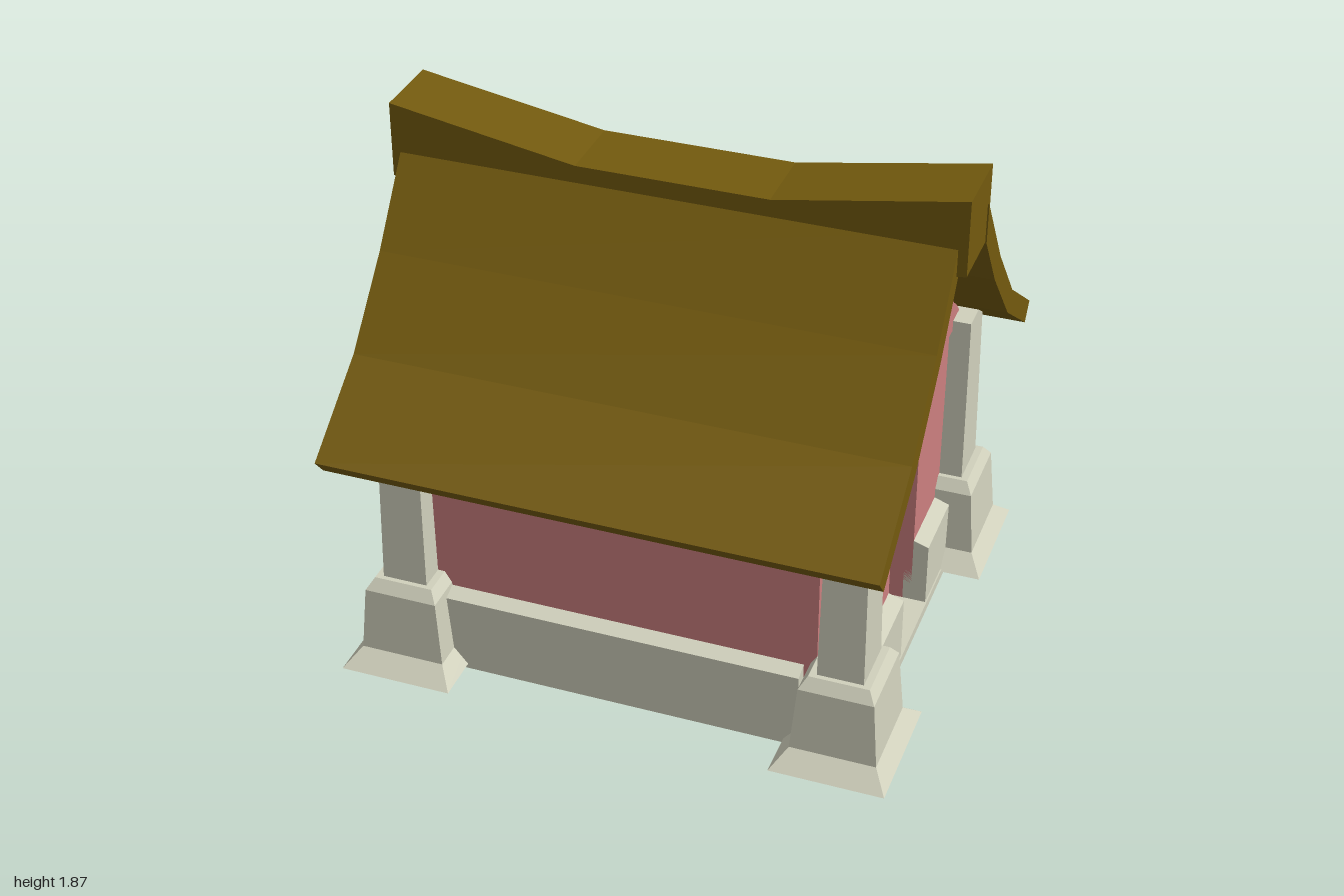
import * as THREE from 'three';

const paint = (color) => new THREE.MeshStandardMaterial({ color });

export function createModel() {
  const house = new THREE.Group();
  const plaster = paint(0xcc7f7f), stone = paint(0xd0d0bc), wood = paint(0x735a0e);

  const add = (name, geometry, material, parent = house) => {
    const mesh = new THREE.Mesh(geometry, material);
    mesh.name = name;
    parent.add(mesh);
    return mesh;
  };

  // Box between two corners
  const block = (x0, x1, y0, y1, z0, z1) =>
    new THREE.BoxGeometry(x1 - x0, y1 - y0, z1 - z0)
      .translate((x0 + x1) / 2, (y0 + y1) / 2, (z0 + z1) / 2);

  // Box tapering from one half-size to another
  const taper = (y0, hx0, hz0, y1, hx1, hz1) => {
    const g = new THREE.BoxGeometry(2, 1, 2);
    const p = g.attributes.position;
    for (let i = 0; i < p.count; i++) {
      const top = p.getY(i) > 0;
      p.setXYZ(i, p.getX(i) * (top ? hx1 : hx0), top ? y1 : y0, p.getZ(i) * (top ? hz1 : hz0));
    }
    g.computeVertexNormals();
    return g;
  };

  // Plinth: the top slopes down towards the outside (axis 0 = x, 2 = z)
  const plinth = (name, x0, x1, y0, y1, z0, z1, axis, sign) => {
    const g = block(x0, x1, y0, y1, z0, z1);
    const p = g.attributes.position;
    const middle = axis === 0 ? (x0 + x1) / 2 : (z0 + z1) / 2;
    for (let i = 0; i < p.count; i++) {
      const outer = (p.getComponent(i, axis) - middle) * sign > 0;
      if (outer && p.getY(i) > (y0 + y1) / 2) p.setY(i, y1 - 0.03);
    }
    g.computeVertexNormals();
    add(name, g, stone);
  };

  const shape = (points) => new THREE.Shape(points.map(([a, b]) => new THREE.Vector2(a, b)));

  // Profile in (z, y) extruded along x
  const alongX = (points, x0, x1) =>
    new THREE.ExtrudeGeometry(shape(points), { depth: x1 - x0, bevelEnabled: false })
      .rotateY(-Math.PI / 2).translate(x1, 0, 0);

  // Floor and plinths, leaving the doorway open
  add('floor', block(-0.73, 0.85, 0, 0.035, -0.675, 0.525), stone);
  plinth('frontPlinth', -0.79, 0.64, 0.012, 0.33, 0.6, 0.69, 2, 1);
  plinth('backPlinth', -0.79, 0.8, 0.012, 0.33, -0.69, -0.59, 2, -1);
  plinth('leftSidePlinthFront', 0.76, 0.845, 0.01, 0.305, 0.14, 0.54, 0, 1);
  plinth('leftSidePlinthBack', 0.76, 0.845, 0.01, 0.305, -0.6, -0.18, 0, 1);
  plinth('rightSidePlinth', -0.81, -0.72, 0.012, 0.33, -0.6, 0.6, 0, -1);

  // Walls, hollow inside
  add('frontWall', block(-0.74, 0.685, 0.02, 1.05, 0.545, 0.635), plaster);
  add('backWall', block(-0.74, 0.685, 0.02, 1.05, -0.63, -0.54), plaster);
  add('rightSideWall', block(-0.755, -0.665, 0.02, 0.98, -0.6, 0.6), plaster);
  add('doorWallFront', block(0.705, 0.79, 0.02, 0.97, 0.14, 0.54), plaster);
  add('doorWallBack', block(0.705, 0.79, 0.02, 0.97, -0.6, -0.18), plaster);

  // Gables
  const gable = [[0.6, 0.97], [0.6, 1.01], [0.05, 1.57], [-0.05, 1.57], [-0.61, 1.01], [-0.61, 0.97]];
  add('leftGable', alongX(gable, 0.7, 0.8), plaster);
  add('rightGable', alongX(gable, -0.76, -0.665), plaster);

  // Corner posts: foot, base block, cap and shaft
  const postParts = [
    ['postFoot', 0.03, 0.2, 0.23, 0.09, 0.15, 0.16],
    ['postBase', 0.09, 0.15, 0.16, 0.33, 0.13, 0.147],
    ['postCap', 0.33, 0.13, 0.147, 0.37, 0.105, 0.117],
    ['postShaft', 0.37, 0.08, 0.1, 1.01, 0.072, 0.083],
  ];
  for (const x of [-0.76, 0.793]) {
    for (const z of [-0.61, 0.63]) {
      const post = new THREE.Group();
      post.name = 'cornerPost';
      for (const [name, ...sizes] of postParts) add(name, taper(...sizes), stone, post);
      post.position.set(x, 0, z);
      house.add(post);
    }
  }

  // Curved roof slopes, slightly offset from each other
  const slope = [
    [0.9, 0.92], [0.575, 1.15], [0.335, 1.415], [0.1, 1.735],
    [0.1, 1.59], [0.27, 1.36], [0.525, 1.085], [0.848, 0.858],
  ];
  add('frontRoof', alongX(slope, -0.97, 0.952), wood);
  add('backRoof', alongX(slope.map(([z, y]) => [-z, y]), -0.93, 0.99), wood);

  // Ridge beam rising at both ends
  const ridgeTop = [[-1, 1.865], [-0.34, 1.75], [0.33, 1.75], [0.985, 1.865]];
  const ridgeBottom = ridgeTop.map(([x, y]) => [x, y - 0.27]).reverse();
  add('ridgeBeam', new THREE.ExtrudeGeometry(shape([...ridgeTop, ...ridgeBottom]),
    { depth: 0.267, bevelEnabled: false }).translate(0, 0, -0.132), wood);

  return house;
}
